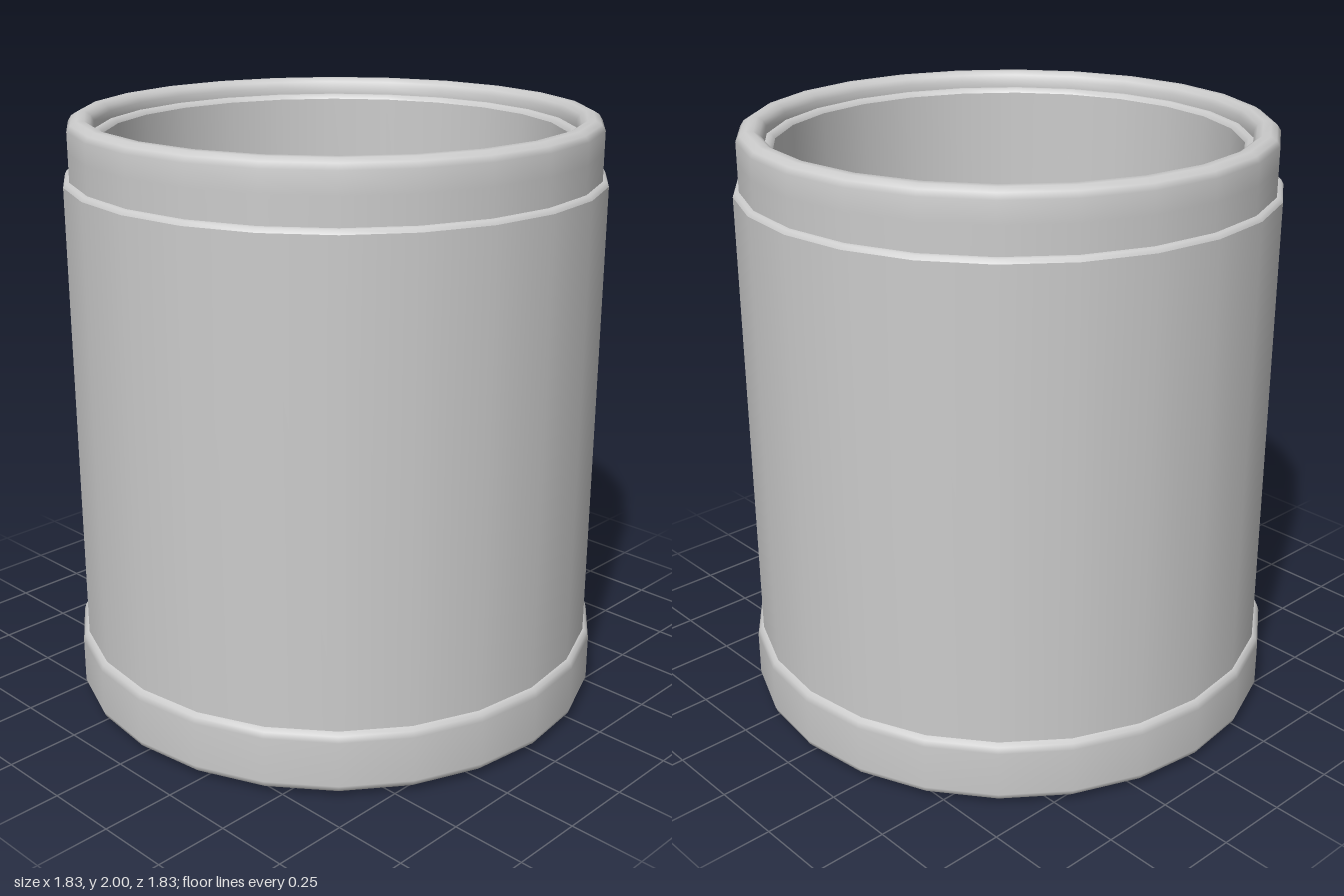
import * as THREE from 'three';

const SIDES = 24;

export function createModel() {
  const group = new THREE.Group();
  group.name = 'cup';
  const material = new THREE.MeshStandardMaterial({ color: 0xcccccc });

  // Turns a profile of [radius, height] pairs; upward on the outside, downward on the inside
  const turn = (name, profile) => {
    const points = profile.map(([r, y]) => new THREE.Vector2(r, y));
    const mesh = new THREE.Mesh(new THREE.LatheGeometry(points, SIDES), material);
    mesh.name = name;
    group.add(mesh);
  };

  // Slightly domed underside
  turn('underside', [[0, 0], [0.45, 0.002], [0.7, 0.008], [0.86, 0.018]]);

  // Thick band round the foot with eased edges
  turn('baseBand', [
    [0.86, 0.018], [0.895, 0.018], [0.907, 0.028], [0.913, 0.045],
    [0.913, 0.2], [0.907, 0.22], [0.895, 0.23], [0.885, 0.23],
  ]);

  // Straight outer wall and the small shoulder under the rim
  turn('outerWall', [[0.892, 0.23], [0.892, 1.795]]);
  turn('shoulder', [[0.892, 1.795], [0.885, 1.808], [0.872, 1.81]]);

  // Recessed collar with a rounded lip
  turn('rim', [
    [0.872, 1.81], [0.872, 1.9], [0.872, 1.97], [0.86, 1.988], [0.84, 2],
    [0.815, 2], [0.797, 1.988], [0.787, 1.97], [0.787, 1.945],
  ]);

  // Ledge inside the lip
  turn('innerLedge', [[0.787, 1.945], [0.77, 1.945], [0.76, 1.93]]);

  // Inner wall and floor with a softened corner
  turn('innerWall', [[0.76, 1.93], [0.76, 0.18]]);
  turn('floor', [[0.76, 0.18], [0.74, 0.15], [0.7, 0.135], [0.5, 0.125], [0, 0.12]]);

  return group;
}
